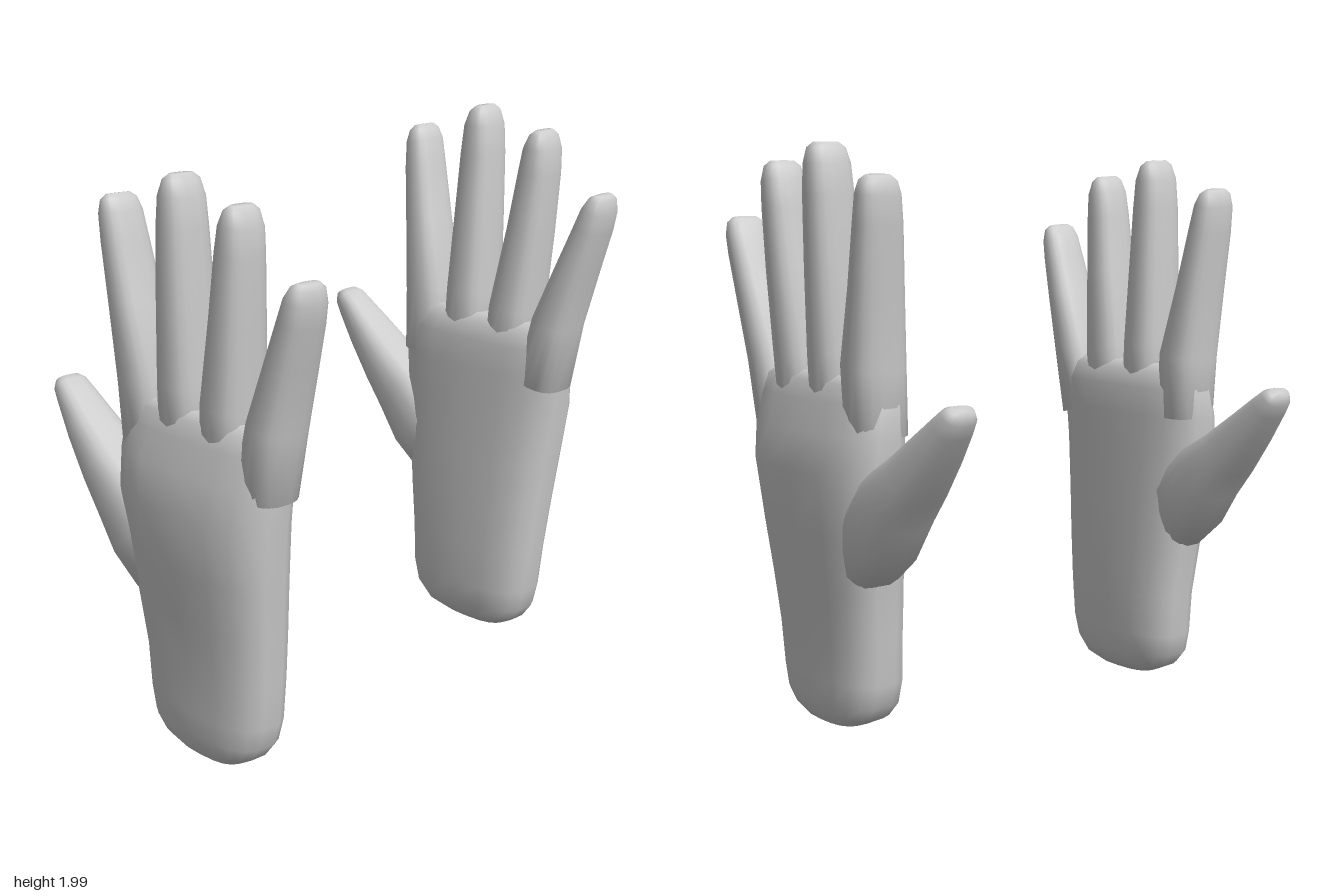
import * as THREE from 'three';

const SIDES = 18;

// Signed power, for boxy rounded (superelliptic) cross-sections
const spow = (v, p) => Math.sign(v) * Math.pow(Math.abs(v), p);

// Skin closed at both ends over stations [z, y, x, half width, half thickness].
// Rings stand square to the path, or stay level when upright is true.
// side = -1 gives the mirrored shape.
function loft(name, stations, side, material, upright = false, roundness = 0.78) {
  const pos = [], index = [];
  const n = stations.length;
  const centre = ([z, y, x]) => pos.push(x * side, y, z);
  const tri = (a, b, c) => (side > 0 ? index.push(a, b, c) : index.push(a, c, b));

  stations.forEach(([z, y, x, b, a], i) => {
    const p = stations[Math.max(i - 1, 0)], q = stations[Math.min(i + 1, n - 1)];
    let ty = q[1] - p[1], tz = q[0] - p[0];
    const len = Math.hypot(ty, tz);
    ty = upright ? 1 : ty / len;
    tz = upright ? 0 : tz / len;
    for (let j = 0; j < SIDES; j++) {
      const ang = (j / SIDES) * Math.PI * 2;
      const u = a * spow(Math.cos(ang), roundness), v = b * spow(Math.sin(ang), roundness);
      pos.push((x + u) * side, y + v * tz, z - v * ty);
    }
  });
  for (let i = 0; i < n - 1; i++) {
    for (let j = 0; j < SIDES; j++) {
      const k = (j + 1) % SIDES, r = i * SIDES, s = r + SIDES;
      tri(r + j, r + k, s + k);
      tri(r + j, s + k, s + j);
    }
  }
  // End caps
  const first = n * SIDES, last = first + 1, top = (n - 1) * SIDES;
  centre(stations[0]);
  centre(stations[n - 1]);
  for (let j = 0; j < SIDES; j++) {
    const k = (j + 1) % SIDES;
    tri(first, k, j);
    tri(last, top + j, top + k);
  }
  const geo = new THREE.BufferGeometry();
  geo.setAttribute('position', new THREE.Float32BufferAttribute(pos, 3));
  geo.setIndex(index);
  geo.computeVertexNormals();
  const mesh = new THREE.Mesh(geo, material);
  mesh.name = name;
  return mesh;
}

// Palm and wrist outline: [y, back z, front z, inner x, outer x]
const PALM = [
  [0.07, 0.08, 0.2, -0.05, 0.02],
  [0.085, -0.01, 0.27, -0.1, 0.045],
  [0.12, -0.085, 0.33, -0.14, 0.07],
  [0.17, -0.128, 0.367, -0.158, 0.085],
  [0.25, -0.148, 0.387, -0.164, 0.09],
  [0.4, -0.16, 0.402, -0.16, 0.097],
  [0.57, -0.185, 0.418, -0.153, 0.117],
  [0.75, -0.21, 0.435, -0.143, 0.142],
  [0.95, -0.238, 0.457, -0.13, 0.163],
  [1.08, -0.25, 0.47, -0.122, 0.142],
  [1.18, -0.248, 0.478, -0.112, 0.116],
  [1.24, -0.225, 0.45, -0.09, 0.1],
  [1.265, -0.19, 0.4, -0.055, 0.07],
].map(([y, z0, z1, x0, x1]) =>
  [(z0 + z1) / 2, y, (x0 + x1) / 2, (z1 - z0) / 2, (x1 - x0) / 2]);

// Fingers and thumb: [z, y, x, half width, half thickness]
const DIGITS = {
  indexFinger: [
    [-0.155, 1.08, 0, 0.085, 0.1], [-0.162, 1.3, 0.012, 0.09, 0.102],
    [-0.21, 1.55, 0.03, 0.067, 0.092], [-0.245, 1.75, 0.045, 0.056, 0.083],
    [-0.258, 1.84, 0.052, 0.048, 0.077], [-0.264, 1.88, 0.055, 0.033, 0.066],
    [-0.267, 1.897, 0.056, 0.015, 0.045],
  ],
  middleFinger: [
    [0.035, 1.08, 0, 0.09, 0.1], [0.035, 1.33, 0.013, 0.085, 0.102],
    [0.035, 1.6, 0.03, 0.075, 0.093], [0.035, 1.83, 0.043, 0.066, 0.084],
    [0.035, 1.93, 0.047, 0.056, 0.079], [0.035, 1.98, 0.049, 0.036, 0.067],
    [0.035, 1.998, 0.05, 0.016, 0.045],
  ],
  ringFinger: [
    [0.232, 1.08, 0, 0.09, 0.1], [0.242, 1.3, 0.012, 0.09, 0.102],
    [0.277, 1.58, 0.03, 0.073, 0.09], [0.298, 1.79, 0.042, 0.063, 0.08],
    [0.305, 1.875, 0.045, 0.053, 0.076], [0.308, 1.922, 0.047, 0.034, 0.064],
    [0.31, 1.938, 0.047, 0.015, 0.045],
  ],
  littleFinger: [
    [0.385, 1.05, 0, 0.085, 0.1], [0.434, 1.28, 0.005, 0.078, 0.1],
    [0.505, 1.49, 0.018, 0.062, 0.09], [0.553, 1.63, 0.028, 0.053, 0.081],
    [0.572, 1.695, 0.032, 0.046, 0.076], [0.583, 1.735, 0.034, 0.03, 0.064],
    [0.587, 1.748, 0.034, 0.014, 0.045],
  ],
  thumb: [
    [-0.08, 0.66, 0, 0.12, 0.1], [-0.17, 0.77, 0, 0.145, 0.122],
    [-0.272, 0.88, 0.002, 0.122, 0.12], [-0.375, 0.965, 0.004, 0.098, 0.106],
    [-0.485, 1.07, 0.005, 0.073, 0.088], [-0.57, 1.155, 0.005, 0.052, 0.069],
    [-0.603, 1.19, 0.005, 0.041, 0.061], [-0.62, 1.208, 0.005, 0.022, 0.045],
  ],
};

function makeHand(name, side, material) {
  const hand = new THREE.Group();
  hand.name = name;
  hand.add(loft('palm', PALM, side, material, true, 0.72));
  for (const [part, stations] of Object.entries(DIGITS)) {
    hand.add(loft(part, stations, side, material));
  }
  return hand;
}

export function createModel() {
  const material = new THREE.MeshStandardMaterial({ color: 0xcccccc });
  const model = new THREE.Group();
  model.name = 'pairOfHands';

  const left = makeHand('leftHand', 1, material);
  left.position.set(0.69, 0, 0);

  // The mirrored hand leans slightly and sits a little lower and further forward
  const right = makeHand('rightHand', -1, material);
  right.rotation.z = -0.035;
  right.position.set(-0.725, -0.06, 0.03);

  model.add(left, right);
  return model;
}
